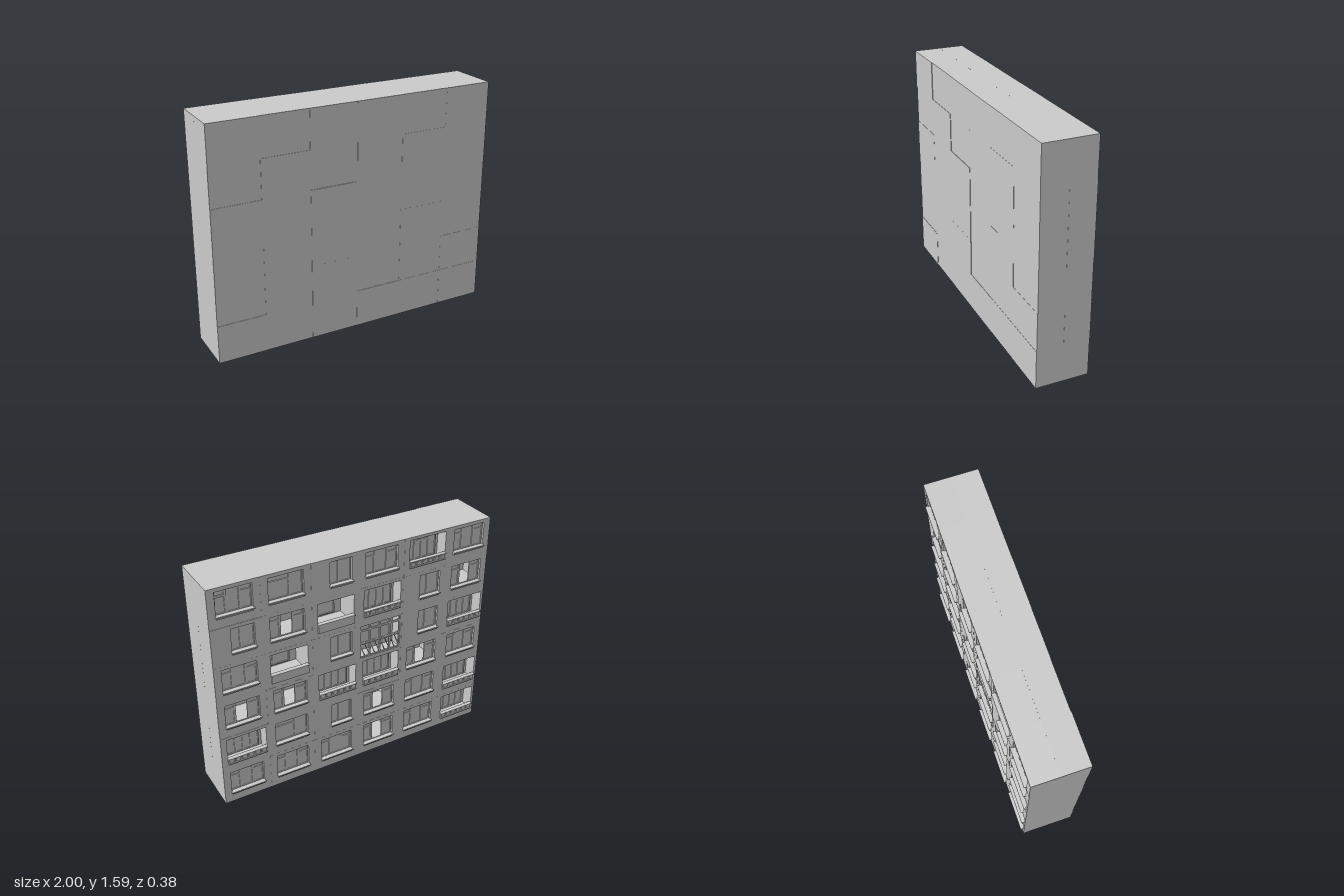
import * as THREE from 'three';

const W = 1 / 3, H = 0.265, N = 6;   // one panel of the 6 x 6 grid
const FACE = 0.173;                  // plane of the window facade
const LAYER = 0.18;                  // thickness of the hollow facade layer
const mat = new THREE.MeshStandardMaterial({ color: 0xcccccc, flatShading: true });

// A, B windows; O window with an open pane; N narrow window;
// L loggia with railing; P loggia with solid parapet; G lattice glazed loggia
const LAYOUT = ['ABNALA', 'NOPLNO', 'APNGNL', 'OOLLOA', 'LBNOAL', 'AAAOAL'];

// Opening of each type inside its panel: left, right, bottom, top
const WINDOW = [0.05, 0.285, 0.08, 0.24];
const HOLES = {
  A: WINDOW, B: WINDOW, O: WINDOW,
  N: [0.13, 0.285, 0.08, 0.24],
  L: [0.04, 0.315, 0.05, 0.245],
  P: [0.04, 0.3, 0.035, 0.24],
  G: [0.015, 0.32, 0.01, 0.255],
};

// Box given by its limits in x, y and z
function block(parent, name, x0, x1, y0, y1, z0, z1) {
  const mesh = new THREE.Mesh(new THREE.BoxGeometry(x1 - x0, y1 - y0, z1 - z0), mat);
  mesh.position.set((x0 + x1) / 2, (y0 + y1) / 2, (z0 + z1) / 2);
  mesh.name = name;
  parent.add(mesh);
  return mesh;
}

// Extruded rectangular frame, its back at z
function frame(parent, name, [x0, x1, y0, y1], [a, b, c, d], z, depth) {
  const rect = (Type, l, r, s, t) => new Type([[l, s], [r, s], [r, t], [l, t]].map(p => new THREE.Vector2(...p)));
  const shape = rect(THREE.Shape, x0, x1, y0, y1);
  shape.holes.push(rect(THREE.Path, a, b, c, d));
  const mesh = new THREE.Mesh(new THREE.ExtrudeGeometry(shape, { depth, bevelEnabled: false }), mat);
  mesh.position.z = z;
  mesh.name = name;
  parent.add(mesh);
}

// One sash: frame with optional glass
function sash(parent, x0, x1, y0, y1, z, glazed = true) {
  const t = 0.007;
  frame(parent, 'sashFrame', [x0, x1, y0, y1], [x0 + t, x1 - t, y0 + t, y1 - t], z, 0.008);
  if (glazed) block(parent, 'pane', x0 + t, x1 - t, y0 + t, y1 - t, z, z + 0.002);
}

// Row of sashes split at fractions, with transom lights above those listed
function sashes(parent, [x0, x1, y0, y1], splits, z, transoms = [], open = -1) {
  const at = f => x0 + (x1 - x0) * f;
  const yt = y0 + (y1 - y0) * 0.74;
  for (let i = 0; i < splits.length - 1; i++) {
    const l = at(splits[i]), r = at(splits[i + 1]);
    const split = transoms.includes(i);
    sash(parent, l, r, y0, split ? yt : y1, z, i !== open);
    if (split) sash(parent, l, r, yt, y1, z);
  }
}

function addWindow(g, type, hole) {
  const [x0, x1, y0] = hole;
  const z = -0.022;
  if (type === 'N') sashes(g, hole, [0, 0.42, 1], z);
  else if (type === 'B') sashes(g, hole, [0, 0.62, 1], z, [0]);
  else sashes(g, hole, [0, 0.3, 0.68, 1], z, [0, 2], type === 'O' ? 1 : -1);
  block(g, 'sill', x0 - 0.005, x1 + 0.005, y0 - 0.006, y0 + 0.003, -0.02, 0.017);
  block(g, 'sillApron', x0, x1, y0 - 0.018, y0 - 0.006, -0.005, 0.008);
}

function addLoggia(g, type, [x0, x1, y0, y1]) {
  const deep = type === 'P' ? 0.175 : 0.09;
  block(g, 'innerWall', x0, x1, y0, y1, -LAYER, -deep);
  if (type === 'L') {
    sashes(g, [x0 + 0.02, x1 - 0.02, y0 + 0.005, y1 - 0.015], [0, 0.3, 0.53, 0.76, 1], -deep, [1, 2]);
    // Railing of small panels between two rails
    block(g, 'topRail', x0, x1, 0.092, 0.1, -0.012, 0.016);
    block(g, 'bottomRail', x0, x1, 0.05, 0.058, -0.01, 0.01);
    const n = 6, step = (x1 - x0) / n;
    for (let i = 0; i < n; i++) {
      const x = x0 + i * step;
      block(g, 'railingPanel', x + 0.007, x + step - 0.007, 0.063, 0.087, -0.004, 0.01);
      block(g, 'railingPost', x, x + 0.004, 0.055, 0.094, -0.004, 0.006);
    }
  } else if (type === 'P') {
    block(g, 'parapet', x0, x1, y0, 0.095, -0.012, 0.01);
    block(g, 'parapetCap', x0 - 0.003, x1 + 0.003, 0.093, 0.1, -0.014, 0.016);
    sashes(g, [x0 + 0.03, x1 - 0.05, y0 + 0.01, y1 - 0.02], [0, 0.35, 1], -deep);
  } else {
    // Full height glazing with slanted bars in the lower panels
    const n = 4, mid = 0.12, step = (x1 - x0) / n;
    for (let i = 0; i < n; i++) {
      const x = x0 + i * step;
      sash(g, x, x + step, mid, 0.215, -0.012, false);
      sash(g, x, x + step, 0.215, y1, -0.012, false);
      sash(g, x, x + step, y0, mid, -0.012, false);
      for (const s of [-0.018, 0.018]) {
        const bar = block(g, 'slantedBar', -0.0025, 0.0025, -0.055, 0.055, -0.01, -0.005);
        bar.position.set(x + step / 2 + s, (y0 + mid) / 2, -0.008);
        bar.scale.y = 0.85;
        bar.rotation.z = 0.4;
      }
    }
    block(g, 'glazingRail', x0, x1, mid - 0.005, mid + 0.005, -0.012, 0.004);
  }
}

export function createModel() {
  const model = new THREE.Group();
  model.name = 'apartmentBlock';
  let seed = 7;
  const random = () => (seed = (seed * 16807) % 2147483647) / 2147483647;

  // Solid body behind the rooms
  block(model, 'body', -1, 1, 0, N * H, LAYER - FACE - 0.002, 0.18);

  // The facade is built facing +z, then turned to the back
  const facade = new THREE.Group();
  facade.name = 'windowFacade';
  facade.rotation.y = Math.PI;
  model.add(facade);

  LAYOUT.forEach((row, r) => [...row].forEach((type, c) => {
    const y = (N - 1 - r) * H;
    const cell = new THREE.Group();
    cell.name = 'facadePanel';
    cell.position.set(-1 + c * W, y, FACE + random() * 0.003);
    facade.add(cell);
    const hole = HOLES[type];
    frame(cell, 'wallPanel', [0, W, 0, H], hole, -LAYER, LAYER);
    if ('LPG'.includes(type)) addLoggia(cell, type, hole);
    else addWindow(cell, type, hole);

    // Plain panel of the blank front, slightly uneven with its neighbours
    const x = -1 + c * W;
    block(model, 'frontPanel', x, x + W, y, y + H, 0.17, 0.183 + random() * 0.005);
  }));
  return model;
}
